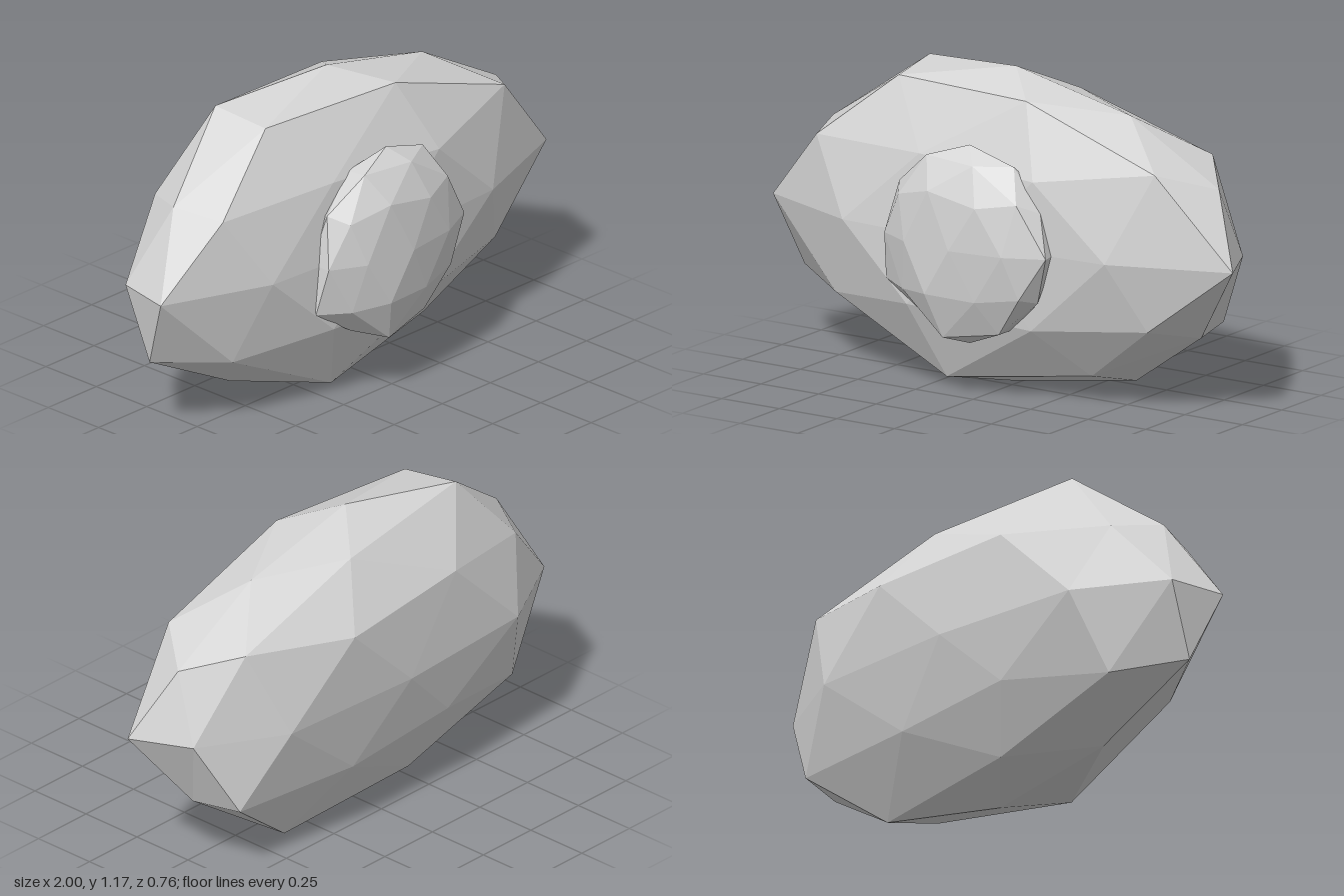
import * as THREE from 'three';

// Rings of a once-subdivided icosahedron: height of the unit direction, first angle, angle step (degrees)
const RINGS = [
  { y: 1, start: 0, step: 360 }, { y: 0.8507, start: 0, step: 72 },
  { y: 0.5257, start: 36, step: 72 }, { y: 0.4472, start: 0, step: 72 },
  { y: 0, start: 18, step: 36 },
  { y: -0.4472, start: 36, step: 72 }, { y: -0.5257, start: 0, step: 72 },
  { y: -0.8507, start: 36, step: 72 }, { y: -1, start: 0, step: 360 },
];

// Radial unevenness of each ring's corners, from top to bottom
const BODY = [
  [0.99], [0.945, 1.03, 1.02, 1.07, 0.98],
  [1.06, 0.92, 0.935, 1.02, 1.055], [0.985, 0.99, 1.02, 0.97, 1.065],
  [1.073, 0.975, 0.876, 0.965, 1.03, 0.98, 1.015, 0.918, 1.01, 0.96],
  [0.955, 0.99, 1.028, 0.9, 1.06], [0.945, 0.94, 0.97, 1, 0.91],
  [0.935, 1.065, 0.955, 0.94, 1.045], [0.958],
];
const KNOB = [
  [1.014], [1.01, 1.005, 1.03, 1, 1],
  [1, 1.08, 1, 1, 1.08], [0.95, 1.04, 1, 1, 1],
  [1.05, 1, 1, 1, 1, 1, 1, 1, 1, 1],
  [1, 1.1, 1.13, 1, 1], [0.96, 0.98, 1, 1, 1],
  [1.01, 1.12, 0.98, 1, 1.01], [1.03],
];

// Scale of the corner that lies in direction d
function unevenness(d, table) {
  let r = 0;
  RINGS.forEach((ring, i) => {
    if (Math.abs(ring.y - d.y) < Math.abs(RINGS[r].y - d.y)) r = i;
  });
  const n = table[r].length;
  if (n === 1) return table[r][0];
  const angle = THREE.MathUtils.radToDeg(Math.atan2(d.z, d.x));
  const k = Math.round((angle - RINGS[r].start) / RINGS[r].step);
  return table[r][((k % n) + n) % n];
}

// Faceted stone: a subdivided icosahedron stretched to the radii and made uneven
function stoneGeometry(radii, table) {
  const top = new THREE.Vector3(0, 1, 0), bottom = new THREE.Vector3(0, -1, 0);
  const ring = (y, start) => Array.from({ length: 5 }, (_, k) => {
    const a = THREE.MathUtils.degToRad(start + 72 * k), r = 2 / Math.sqrt(5);
    return new THREE.Vector3(r * Math.cos(a), y, r * Math.sin(a));
  });
  const U = ring(1 / Math.sqrt(5), 0), L = ring(-1 / Math.sqrt(5), 36);
  const positions = [];
  const put = (...corners) => corners.forEach((d) => {
    positions.push(...d.clone().multiply(radii).multiplyScalar(unevenness(d, table)).toArray());
  });
  const mid = (a, b) => a.clone().add(b).normalize();
  const split = (a, b, c) => {
    const ab = mid(a, b), bc = mid(b, c), ca = mid(c, a);
    put(a, ab, ca, ab, b, bc, ca, bc, c, ab, bc, ca);
  };
  for (let k = 0; k < 5; k++) {
    const n = (k + 1) % 5;
    split(top, U[n], U[k]);
    split(L[k], U[k], U[n]);
    split(U[n], L[n], L[k]);
    split(bottom, L[k], L[n]);
  }
  const g = new THREE.BufferGeometry();
  g.setAttribute('position', new THREE.Float32BufferAttribute(positions, 3));
  g.computeVertexNormals();
  return g;
}

export function createModel() {
  const group = new THREE.Group();
  group.name = 'stone';
  const grey = new THREE.MeshStandardMaterial({ color: 0xd4d4d4, flatShading: true });
  grey.name = 'light stone grey';

  const add = (name, radii, table, x, y, z) => {
    const mesh = new THREE.Mesh(stoneGeometry(new THREE.Vector3(...radii), table), grey);
    mesh.name = name;
    mesh.position.set(x, y, z);
    group.add(mesh);
  };
  // Large flattened boulder with a small knob set into its front
  add('body', [1, 0.6, 0.354], BODY, -0.02, 0.575, -0.055);
  add('frontKnob', [0.36, 0.36, 0.14], KNOB, -0.02, 0.575, 0.24);
  return group;
}
